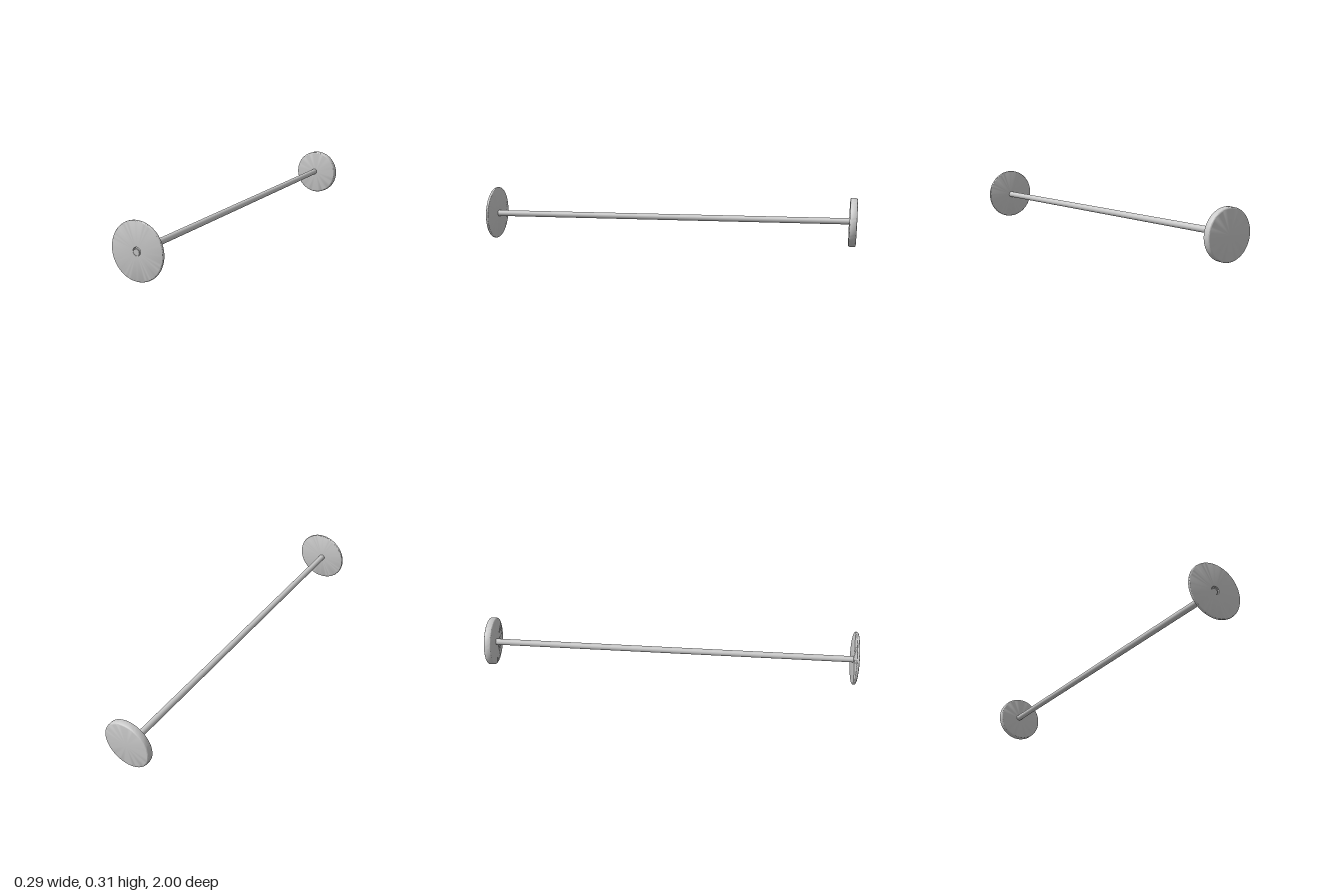
import * as THREE from 'three';
import { toCreasedNormals } from 'three/addons/utils/BufferGeometryUtils.js';

const material = new THREE.MeshStandardMaterial({ color: 0xcccccc });

// Disc turned around z with a rounded rim; an optional groove is sunk in its front face
function makeDisc(name, radius, thickness, bevel, groove) {
  const h = thickness / 2;
  const points = [new THREE.Vector2(0, -h)];
  for (const side of [-1, 1]) {
    for (let i = 0; i <= 5; i++) {
      const a = (side < 0 ? -Math.PI / 2 : 0) + (i / 5) * Math.PI / 2;
      points.push(new THREE.Vector2(
        radius - bevel + Math.cos(a) * bevel,
        side * (h - bevel) + Math.sin(a) * bevel));
    }
  }
  if (groove) {
    points.push(new THREE.Vector2(groove, h), new THREE.Vector2(groove - 0.002, h - 0.006));
    points.push(new THREE.Vector2(0, h - 0.006));
  } else {
    points.push(new THREE.Vector2(0, h));
  }
  const geometry = toCreasedNormals(new THREE.LatheGeometry(points, 72), 0.6);
  geometry.rotateX(Math.PI / 2);
  const mesh = new THREE.Mesh(geometry, material);
  mesh.name = name;
  return mesh;
}

// Straight rod between two points
function makeRod(name, start, end, radius) {
  const direction = end.clone().sub(start);
  const geometry = new THREE.CylinderGeometry(radius, radius, direction.length(), 32);
  const mesh = new THREE.Mesh(geometry, material);
  mesh.name = name;
  mesh.position.copy(start).add(end).multiplyScalar(0.5);
  mesh.quaternion.setFromUnitVectors(new THREE.Vector3(0, 1, 0), direction.normalize());
  return mesh;
}

export function createModel() {
  const model = new THREE.Group();
  model.name = 'barbell';

  // Wide, thin front disc, slightly turned
  const frontDisc = makeDisc('frontDisc', 0.143, 0.015, 0.006, 0.021);
  frontDisc.position.set(0, 0.145, 0.987);
  frontDisc.rotation.y = -0.03;

  // Smaller, thicker back disc
  const backDisc = makeDisc('backDisc', 0.128, 0.038, 0.008);
  backDisc.position.set(-0.005, 0.179, -0.979);
  backDisc.rotation.y = -0.02;

  // Gently sloping rod, its end showing through the front disc
  const rod = makeRod('rod', new THREE.Vector3(-0.015, 0.182, -0.97),
    new THREE.Vector3(-0.004, 0.14, 0.993), 0.0165);

  model.add(frontDisc, backDisc, rod);
  return model;
}
